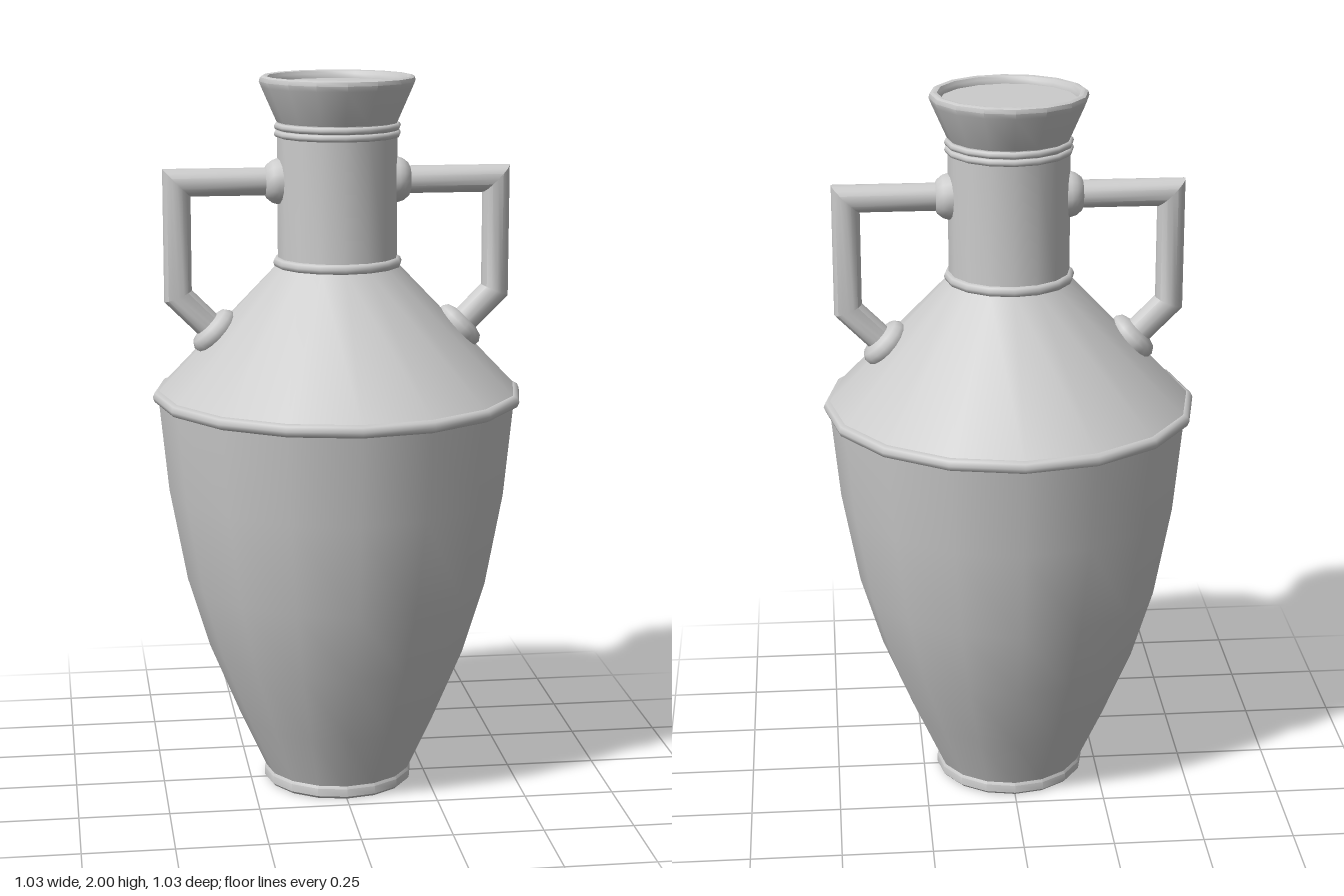
import * as THREE from 'three';
import { toCreasedNormals } from 'three/addons/utils/BufferGeometryUtils.js';

const material = new THREE.MeshStandardMaterial({ color: 0xcccccc });

function lathe(name, profile, sides = 16, crease = 0.65) {
  const points = profile.map(([r, y]) => new THREE.Vector2(r, y));
  const geometry = toCreasedNormals(new THREE.LatheGeometry(points, sides), crease);
  const mesh = new THREE.Mesh(geometry, material);
  mesh.name = name;
  return mesh;
}

// Rounded band around the vase
function band(name, radius, y, thickness) {
  const geometry = new THREE.TorusGeometry(radius, thickness, 8, 16);
  geometry.rotateX(Math.PI / 2);
  const mesh = new THREE.Mesh(geometry, material);
  mesh.position.y = y;
  mesh.name = name;
  return mesh;
}

// Round bar swept along a path in the xy plane with mitred corners
function mitredBar(path, radius, sides = 16) {
  const positions = [], index = [];
  const points = path.map(([x, y]) => new THREE.Vector2(x, y));
  points.forEach((p, i) => {
    const a = points[Math.max(i - 1, 0)], b = points[Math.min(i + 1, points.length - 1)];
    const before = (i ? p.clone().sub(a) : b.clone().sub(p)).normalize();
    const after = (i < points.length - 1 ? b.clone().sub(p) : p.clone().sub(a)).normalize();
    const tangent = before.clone().add(after).normalize();
    const stretch = 1 / tangent.dot(before);
    for (let j = 0; j < sides; j++) {
      const t = (j / sides) * Math.PI * 2;
      const u = Math.cos(t) * radius * stretch;
      positions.push(p.x - tangent.y * u, p.y + tangent.x * u, Math.sin(t) * radius);
      if (i) {
        const k = (j + 1) % sides, q = (i - 1) * sides, r = i * sides;
        index.push(q + j, q + k, r + j, q + k, r + k, r + j);
      }
    }
  });
  const geometry = new THREE.BufferGeometry();
  geometry.setAttribute('position', new THREE.Float32BufferAttribute(positions, 3));
  geometry.setIndex(index);
  return toCreasedNormals(geometry, 0.6);
}

function createHandle(name) {
  const handle = new THREE.Group();
  handle.name = name;
  const bar = new THREE.Mesh(
    mitredBar([[0.15, 1.715], [0.44, 1.715], [0.44, 1.405], [0.3, 1.265]], 0.038), material);
  bar.name = 'handleBar';

  // Collar where the bar meets the neck
  const upper = lathe('upperHandleCollar',
    [[0.062, -0.03], [0.063, 0.01], [0.058, 0.025], [0.046, 0.04], [0.036, 0.045]], 16, 1);
  upper.position.set(0.155, 1.715, 0);
  upper.rotation.z = -Math.PI / 2;

  // Collar where the bar meets the shoulder
  const lower = lathe('lowerHandleCollar',
    [[0, -0.03], [0.06, -0.03], [0.071, -0.015], [0.072, 0.005], [0.062, 0.02], [0.036, 0.028]], 16, 1);
  lower.position.set(0.342, 1.307, 0);
  lower.rotation.z = -Math.PI / 4;
  handle.add(bar, upper, lower);
  return handle;
}

export function createModel() {
  const vase = new THREE.Group();
  vase.name = 'vase';
  vase.add(
    lathe('foot', [[0, 0], [0.203, 0], [0.211, 0.008], [0.211, 0.03], [0.203, 0.042], [0.19, 0.045]]),
    lathe('body', [[0.205, 0.035], [0.28, 0.2], [0.363, 0.4], [0.424, 0.6], [0.472, 0.86], [0.498, 1.12]]),
    band('shoulderBand', 0.496, 1.123, 0.018),
    lathe('shoulder', [[0.5, 1.137], [0.165, 1.487]]),
    band('neckBand', 0.163, 1.493, 0.015),
    lathe('neck', [[0.165, 1.48], [0.165, 1.88]]),
    band('lowerCollarBand', 0.164, 1.844, 0.01),
    band('upperCollarBand', 0.164, 1.864, 0.01),
    // Flared mouth with a rounded lip and a shallow closed top
    lathe('mouth', [[0.16, 1.868], [0.168, 1.88], [0.208, 1.97], [0.214, 1.985], [0.211, 1.996],
      [0.203, 2], [0.192, 1.998], [0.186, 1.99], [0.184, 1.978], [0, 1.978]]),
  );

  const left = createHandle('leftHandle');
  const right = createHandle('rightHandle');
  right.rotation.y = Math.PI;
  vase.add(left, right);
  return vase;
}
